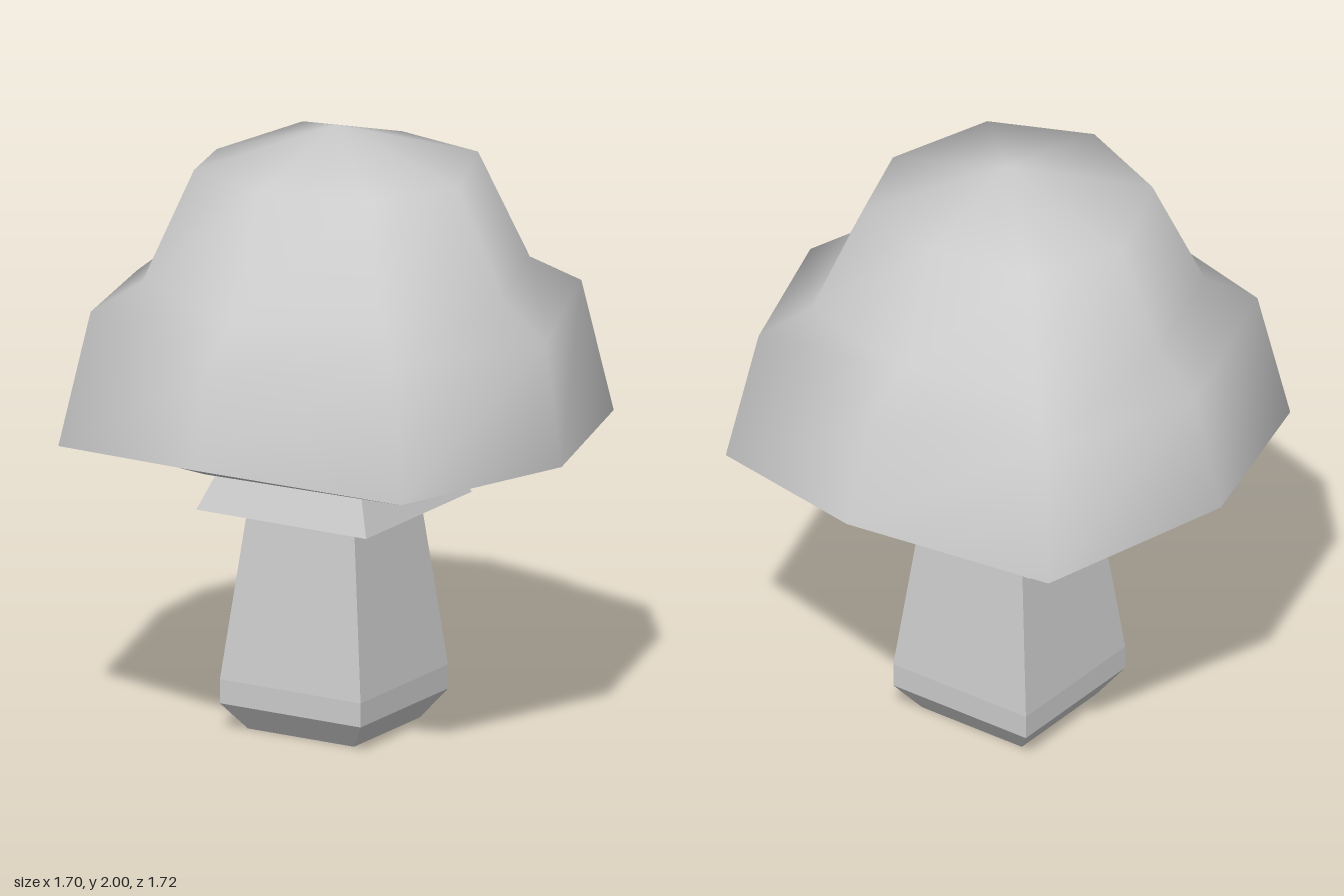
import * as THREE from 'three';

// Skin a stack of closed rings; each ring is a list of [x, y, z]
function loft(rings, flat) {
  const n = rings[0].length, pos = rings.flat(2), idx = [];
  for (let k = 0; k < rings.length - 1; k++) {
    for (let i = 0; i < n; i++) {
      const a = k * n + i, b = k * n + (i + 1) % n;
      idx.push(a, b, b + n, a, b + n, a + n);
    }
  }
  let g = new THREE.BufferGeometry();
  g.setAttribute('position', new THREE.Float32BufferAttribute(pos, 3));
  g.setIndex(idx);
  if (flat) g = g.toNonIndexed();
  g.computeVertexNormals();
  return g;
}

// Uneven octagon: [reach, height] for front, left, back, right, and one for the four corners
function octagon(front, left, back, right, corner) {
  const [c, h] = corner;
  return [
    [0, front[1], front[0]], [c, h, c],
    [left[0], left[1], 0], [c, h, -c],
    [0, back[1], -back[0]], [-c, h, -c],
    [-right[0], right[1], 0], [-c, h, c],
  ];
}

// Square section of the slightly off-centre stem
function square(half, y) {
  const o = -0.02;
  return [[-1, 1], [1, 1], [1, -1], [-1, -1]].map(([x, z]) => [o + x * half, y, o + z * half]);
}

const point = (n, y, o = 0) => Array.from({ length: n }, () => [o, y, o]);

// Cone or fan closing a ring at a single shared tip
function tip(ring, y, below) {
  const n = ring.length, idx = [];
  for (let i = 0; i < n; i++) {
    const j = (i + 1) % n;
    idx.push(...(below ? [n, j, i] : [i, j, n]));
  }
  return { point: [0, y, 0], idx };
}

// Smooth skin through rings, closed by one tip vertex at the top or bottom
function dome(rings, y, below) {
  const n = 8, skin = loft(rings);
  const edge = below ? 0 : (rings.length - 1) * n;
  const { point: p, idx } = tip(rings[0], y, below);
  const last = rings.length * n;
  const g = new THREE.BufferGeometry();
  g.setAttribute('position', new THREE.Float32BufferAttribute([...rings.flat(2), ...p], 3));
  g.setIndex([...skin.index.array, ...idx.map((i) => (i === n ? last : edge + i))]);
  g.computeVertexNormals();
  return g;
}

export function createModel() {
  const group = new THREE.Group();
  const grey = new THREE.MeshStandardMaterial({ color: 0xcccccc });
  grey.name = 'light grey';
  const add = (name, geometry) => {
    const mesh = new THREE.Mesh(geometry, grey);
    mesh.name = name;
    group.add(mesh);
  };

  // Cap: flared brim, stepped shoulder, low pointed crown
  const rim = octagon([0.86, 1.06], [0.85, 0.99], [0.86, 1.08], [0.85, 1.03], [0.645, 0.99]);
  add('cap', dome([
    rim,
    octagon([0.8, 1.35], [0.79, 1.39], [0.74, 1.4], [0.75, 1.4], [0.57, 1.43]),
    octagon([0.64, 1.49], [0.63, 1.51], [0.58, 1.52], [0.6, 1.52], [0.45, 1.52]),
    octagon([0.46, 1.89], [0.46, 1.86], [0.4, 1.88], [0.45, 1.85], [0.33, 1.88]),
  ], 2.0, false));

  // Rim lip and hollow underside
  const inner = rim.map(([x, y, z]) => [x * 0.92, 1 + (y - 1) * 0.5, z * 0.92]);
  add('capLip', loft([inner, rim]));
  const hollow = inner.map(([x, , z]) => [x * 0.45, 1.09, z * 0.45]);
  add('capUnderside', dome([hollow, inner], 1.12, true));

  // Tapered stem with a chamfered foot
  add('stem', loft([
    point(4, 0, -0.02), square(0.2, 0), square(0.265, 0.09), square(0.265, 0.17), square(0.2, 0.74),
  ], true));

  // Flared collar and neck
  add('collar', loft([
    point(4, 0.74, -0.02), square(0.32, 0.74), square(0.243, 0.93), square(0.243, 1.13),
  ], true));

  return group;
}
